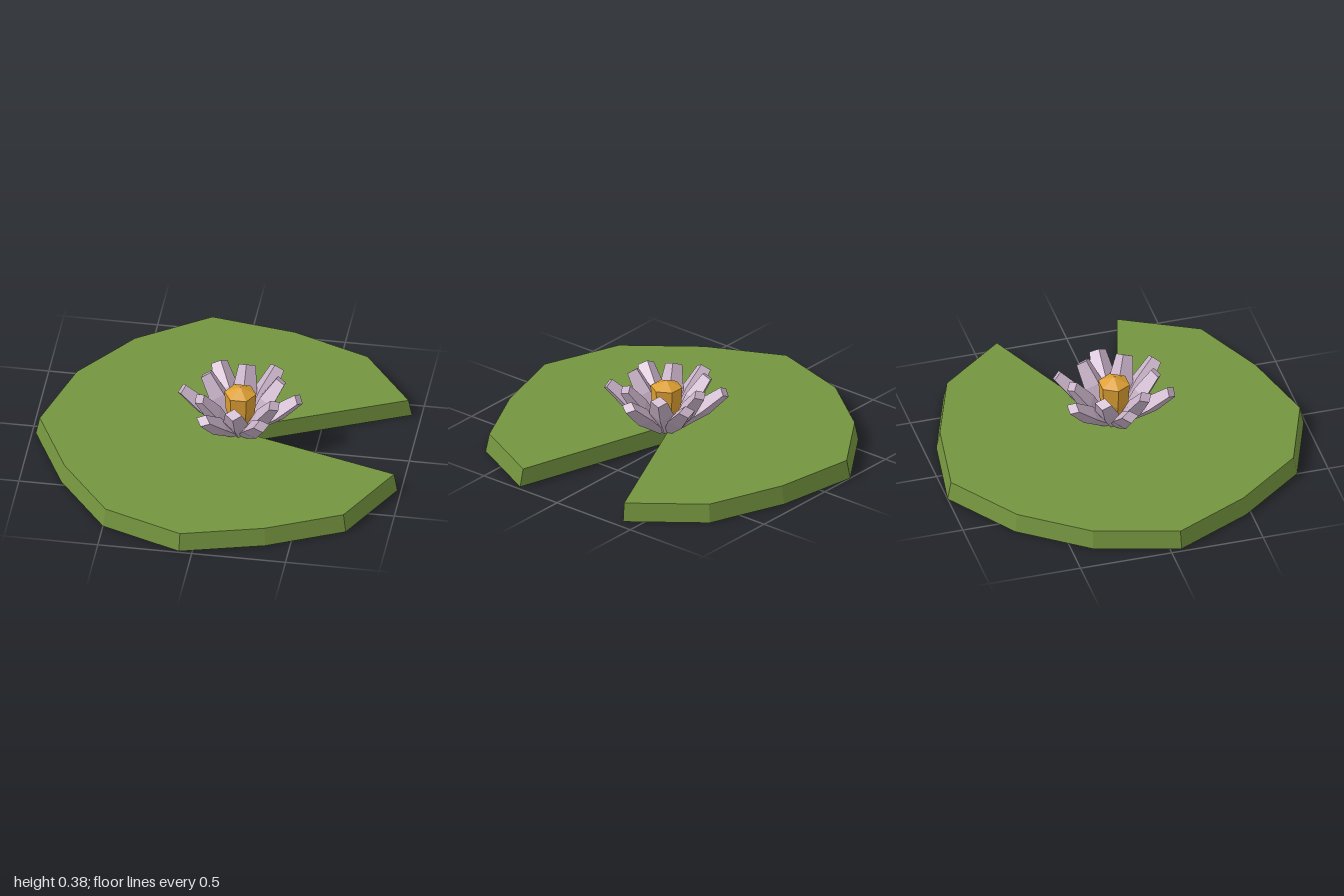
import * as THREE from 'three';

const flat = (name, color) => {
  const m = new THREE.MeshStandardMaterial({ color, flatShading: true });
  m.name = name;
  return m;
};

export function createModel() {
  const group = new THREE.Group();
  group.name = 'waterLily';
  const leafGreen = flat('leafGreen', 0x74943f);
  const petalPink = flat('petalPink', 0xc9b2c8);
  const centreGold = flat('centreGold', 0xdd9f33);

  // Notched leaf: outline as x, z pairs, starting at the notch apex
  const apex = [0.05, 0];
  const outline = [apex, [0.95, -0.41], [0.67, -0.77], [0.25, -0.93], [-0.21, -1],
    [-0.59, -0.74], [-0.85, -0.39], [-0.98, 0.06], [-0.78, 0.47], [-0.5, 0.83],
    [-0.07, 0.99], [0.37, 0.87], [0.77, 0.68], [0.98, 0.27]];
  const shape = new THREE.Shape(outline.map(([x, z]) => new THREE.Vector2(x, -z)));
  const padGeo = new THREE.ExtrudeGeometry(shape, { depth: 0.1, bevelEnabled: false });
  padGeo.rotateX(-Math.PI / 2);
  // Draw the top rim in towards the apex so the notch walls stay upright
  const p = padGeo.attributes.position;
  for (let i = 0; i < p.count; i++) {
    if (p.getY(i) < 0.05) continue;
    p.setX(i, apex[0] + (p.getX(i) - apex[0]) * 0.98);
    p.setZ(i, apex[1] + (p.getZ(i) - apex[1]) * 0.98);
  }
  padGeo.computeVertexNormals();
  const pad = new THREE.Mesh(padGeo, leafGreen);
  pad.name = 'lilyPad';
  group.add(pad);

  const flower = new THREE.Group();
  flower.name = 'flower';
  flower.position.set(0.1, 0.1, 0);
  group.add(flower);

  const lathe = (points, sides) =>
    new THREE.LatheGeometry(points.map(([r, y]) => new THREE.Vector2(r, y)), sides);

  // Petal: diamond section, widest past the middle, cut off flat at the tip
  const addRing = (name, length, tilt, start) => {
    const geo = lathe([[0, 0], [0.03, 0], [0.066, length * 0.58], [0.045, length], [0, length]], 4);
    geo.scale(1, 1, 0.74);
    geo.rotateX(tilt);
    geo.translate(0, 0, 0.04);
    for (let i = 0; i < 6; i++) {
      const petal = new THREE.Mesh(geo, petalPink);
      petal.name = name;
      petal.rotation.y = start + (i * Math.PI) / 3;
      flower.add(petal);
    }
  };
  addRing('outerPetal', 0.357, 0.86, Math.PI / 2);
  addRing('innerPetal', 0.322, 0.63, 0);

  // Six-sided centre with a low peak
  const centre = new THREE.Mesh(
    lathe([[0, 0], [0.04, 0], [0.078, 0.13], [0.085, 0.24], [0, 0.278]], 6), centreGold);
  centre.name = 'flowerCentre';
  centre.rotation.y = Math.PI / 6;
  flower.add(centre);

  return group;
}
